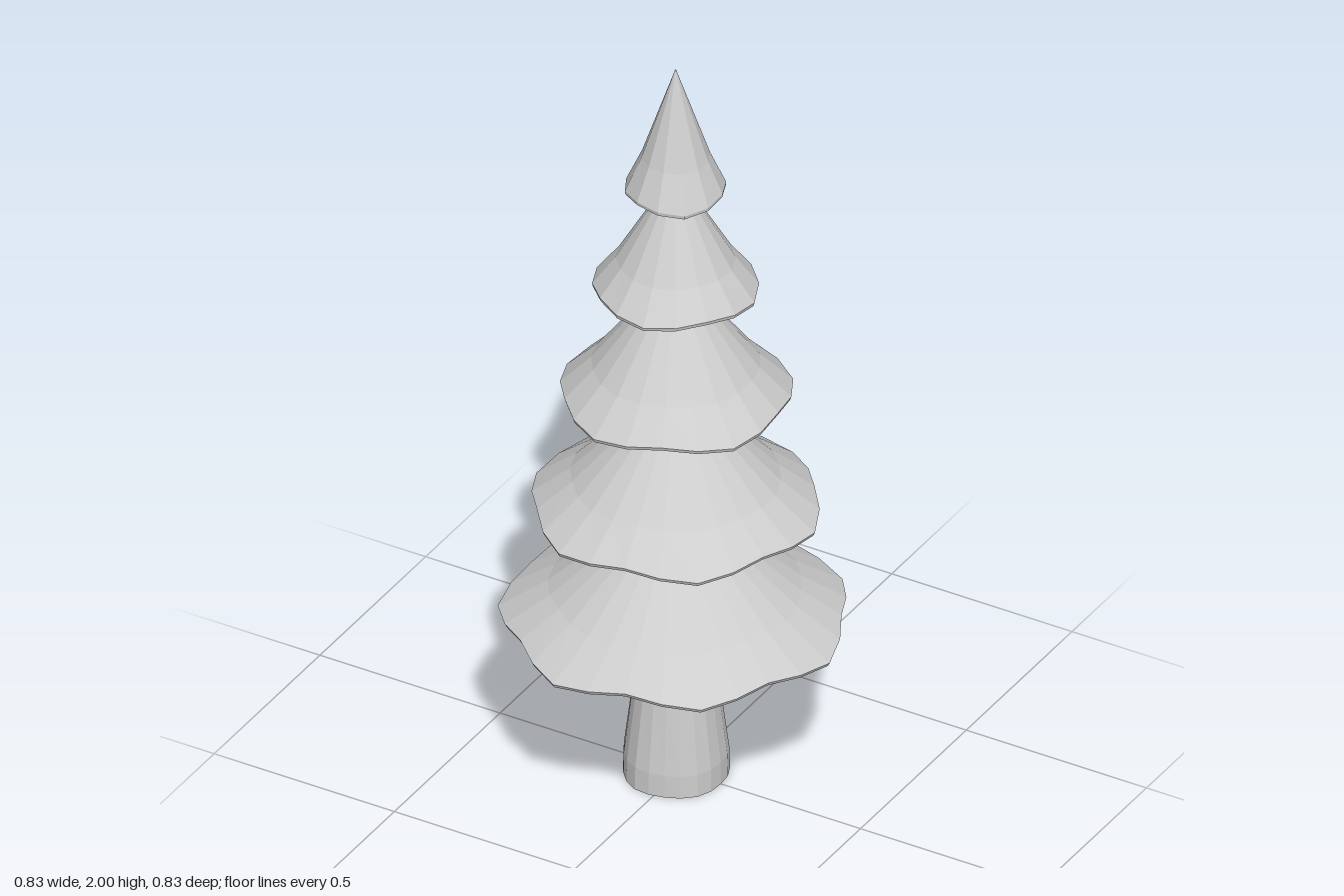
import * as THREE from 'three';

const RAD = Math.PI / 180;
const AXIS_X = -0.013;

// Skin a stack of rings, listed top to bottom; point(ring, angle) gives [radius, y]
function loft(rings, segments, phase, point) {
  const positions = [];
  const index = [];
  const n = segments;
  rings.forEach((ring) => {
    for (let j = 0; j < n; j++) {
      const a = (j / n) * Math.PI * 2;
      const [r, y] = point(ring, a);
      positions.push(r * Math.cos(a + phase), y, r * Math.sin(a + phase));
    }
  });
  for (let i = 0; i < rings.length - 1; i++) {
    for (let j = 0; j < n; j++) {
      const k = (j + 1) % n;
      const a = i * n + j, b = i * n + k, c = a + n, d = b + n;
      index.push(a, b, c, b, d, c);
    }
  }
  const geometry = new THREE.BufferGeometry();
  geometry.setAttribute('position', new THREE.Float32BufferAttribute(positions, 3));
  geometry.setIndex(index);
  const flat = geometry.toNonIndexed();
  flat.computeVertexNormals();
  return flat;
}

// One skirt of foliage: sloping top, thin drooping rim, hollow underside
function tierGeometry({ lobes, radius, wave, droop, rim, top, topRadius, phase, hollow }) {
  const h = top - rim;
  const rings = [
    { r: topRadius * 0.02, y: top, w: 0 },
    { r: topRadius, y: top, w: 0 },
    { r: topRadius + (radius - topRadius) * 0.68, y: rim + h * 0.27, w: 0.25 },
    { r: radius, y: rim + 0.002, w: 1 },
    { r: radius * 0.99, y: rim - 0.007, w: 1 },
    { r: radius * 0.66, y: rim + hollow * 0.35, w: 0.25 },
    { r: topRadius * 0.6 + 0.01, y: rim + hollow, w: 0 },
  ];
  return loft(rings, lobes * 4, phase * RAD, ({ r, y, w }, a) => {
    const c = Math.cos(a * lobes);
    return [r + wave * w * c, y - droop * w * c];
  });
}

export function createModel() {
  const model = new THREE.Group();
  const tree = new THREE.Group();
  tree.name = 'tree';
  tree.position.x = AXIS_X;
  model.add(tree);

  const material = new THREE.MeshStandardMaterial({
    color: 0xcccccc, flatShading: true, side: THREE.DoubleSide,
  });
  material.name = 'pale grey';

  const add = (name, geometry) => {
    const mesh = new THREE.Mesh(geometry, material);
    mesh.name = name;
    tree.add(mesh);
  };

  // Trunk: flared, slightly fluted foot, open underneath
  const trunkRings = [
    { r: 0.018, y: 1.75 }, { r: 0.022, y: 1.66 }, { r: 0.041, y: 1.39 },
    { r: 0.055, y: 1.06 }, { r: 0.069, y: 0.75 }, { r: 0.09, y: 0.45 },
    { r: 0.105, y: 0.25 }, { r: 0.129, y: 0.06 }, { r: 0.131, y: 0 },
  ];
  add('trunk', loft(trunkRings, 20, 0, ({ r, y }, a) => {
    const flute = 0.005 * Math.max(0, 1 - y / 0.45);
    return [r - flute * (1 - Math.cos(a * 5 + Math.PI)) * 0.5, y];
  }));

  // Five tiers, each with one lobe fewer than the tier below
  const tiers = [
    { lobes: 7, radius: 0.413, wave: 0.0145, droop: 0.009, rim: 0.452, top: 0.728, topRadius: 0.074, phase: 0, hollow: 0.1 },
    { lobes: 6, radius: 0.347, wave: 0.011, droop: 0.008, rim: 0.768, top: 1.05, topRadius: 0.057, phase: -9, hollow: 0.09 },
    { lobes: 5, radius: 0.279, wave: 0.008, droop: 0.007, rim: 1.085, top: 1.378, topRadius: 0.043, phase: 30.5, hollow: 0.09 },
    { lobes: 4, radius: 0.2, wave: 0.004, droop: 0.006, rim: 1.388, top: 1.668, topRadius: 0.026, phase: -8, hollow: 0.09 },
    { lobes: 3, radius: 0.123, wave: 0.003, droop: 0.005, rim: 1.664, top: 2, topRadius: 0.001, phase: 50, hollow: 0.09 },
  ];
  tiers.forEach((tier, i) => add(`foliageTier${i + 1}`, tierGeometry(tier)));

  return model;
}
